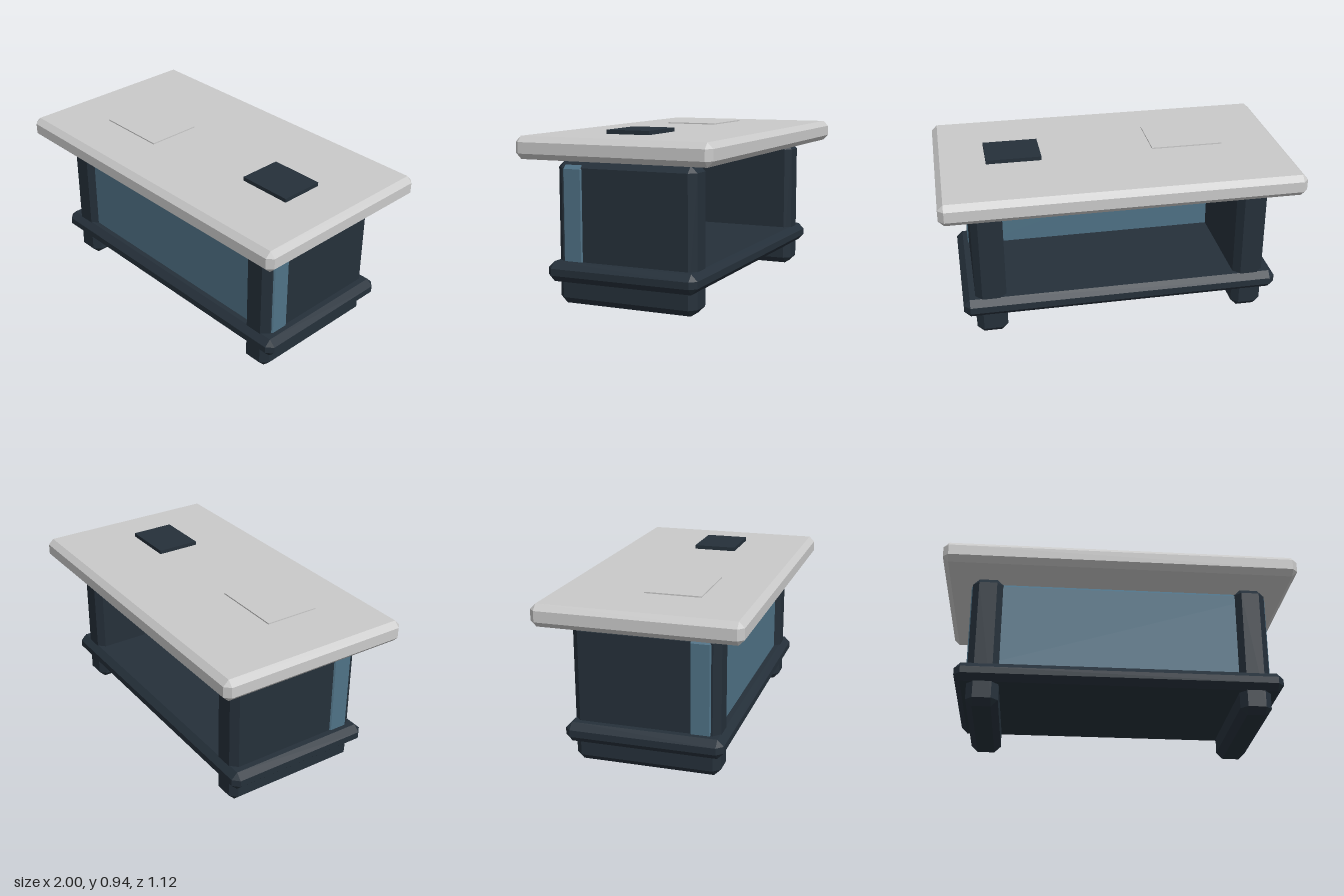
import * as THREE from 'three';
import { ConvexGeometry } from 'three/addons/geometries/ConvexGeometry.js';

// Box between two corners with every edge cut by a flat chamfer c
function chamferBox(min, max, c) {
  const lo = new THREE.Vector3(...min), hi = new THREE.Vector3(...max);
  const half = hi.clone().sub(lo).multiplyScalar(0.5);
  const mid = hi.clone().add(lo).multiplyScalar(0.5);
  const points = [];
  for (const sx of [-1, 1]) for (const sy of [-1, 1]) for (const sz of [-1, 1]) {
    for (const axis of ['x', 'y', 'z']) {
      const p = half.clone().subScalar(c);
      p[axis] = half[axis];
      points.push(p.multiply(new THREE.Vector3(sx, sy, sz)));
    }
  }
  return new ConvexGeometry(points).translate(mid.x, mid.y, mid.z);
}

// Plain box between two corners
function plainBox(min, max) {
  const size = max.map((v, i) => v - min[i]);
  const mid = max.map((v, i) => (v + min[i]) / 2);
  return new THREE.BoxGeometry(...size).translate(...mid);
}

function makeMaterial(name, color) {
  const material = new THREE.MeshStandardMaterial({ color });
  material.name = name;
  return material;
}

export function createModel() {
  const desk = new THREE.Group();
  desk.name = 'desk';
  const lightGrey = makeMaterial('lightGrey', 0xcacaca);
  const darkSlate = makeMaterial('darkSlate', 0x25303a);
  const steelBlue = makeMaterial('steelBlue', 0x4f7286);

  const add = (name, geometry, material) => {
    const mesh = new THREE.Mesh(geometry, material);
    mesh.name = name;
    desk.add(mesh);
  };

  // Table top, floating just above the side supports
  add('tableTop', chamferBox([-1, 0.79, -0.56], [1, 0.912, 0.56], 0.031), lightGrey);

  // Slab supports running from the feet to below the top
  add('leftSupport', chamferBox([0.661, 0, -0.403], [0.836, 0.777, 0.405], 0.037), darkSlate);
  add('rightSupport', chamferBox([-0.836, 0, -0.403], [-0.661, 0.777, 0.405], 0.037), darkSlate);

  // Low shelf joining the supports
  add('baseShelf', chamferBox([-0.905, 0.13, -0.435], [0.905, 0.238, 0.437], 0.035), darkSlate);

  // Front panel, its ends showing slightly past the supports
  add('frontPanel', chamferBox([-0.843, 0.2, 0.232], [0.843, 0.755, 0.372], 0.021), steelBlue);

  // Items on the top
  add('paperSheet', plainBox([-0.647, 0.917, -0.06], [-0.235, 0.924, 0.252]), lightGrey);
  add('darkPad', plainBox([0.405, 0.916, -0.09], [0.716, 0.938, 0.16]), darkSlate);

  return desk;
}
